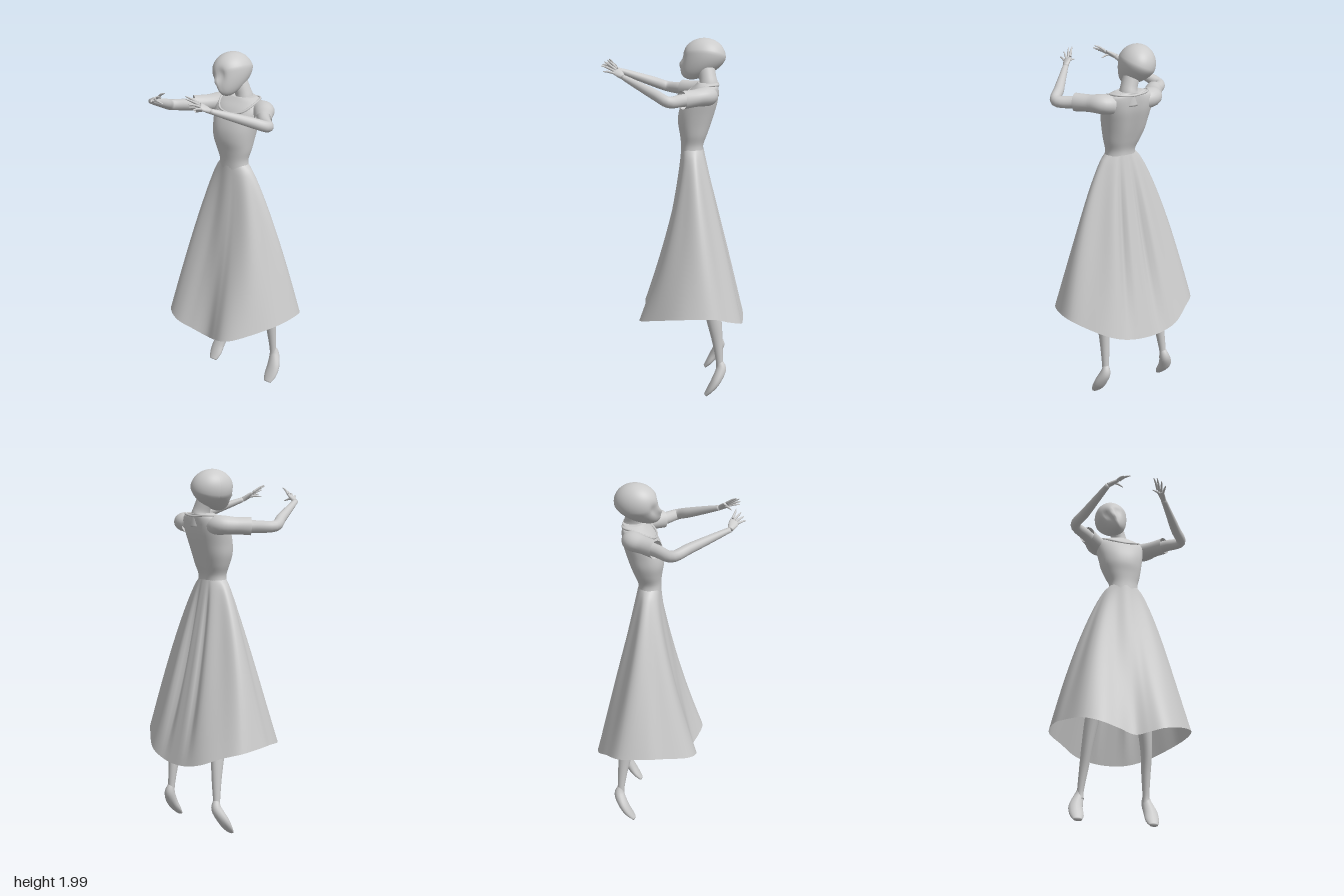
import * as THREE from 'three';

const V = (x, y, z) => new THREE.Vector3(x, y, z);
const mat = new THREE.MeshStandardMaterial({ color: 0xcccccc });
const thin = new THREE.MeshStandardMaterial({ color: 0xcccccc, side: THREE.DoubleSide });

// Smooth skin over closed rings; at(i, j) gives the corner j of ring i
function skin(name, rows, n, at, { caps = true, material = mat } = {}) {
  const pos = [], index = [];
  for (let i = 0; i < rows; i++)
    for (let j = 0; j < n; j++) pos.push(...at(i, j).toArray());
  for (let i = 0; i < rows - 1; i++)
    for (let j = 0; j < n; j++) {
      const k = (j + 1) % n, a = i * n + j, b = i * n + k;
      index.push(a, b, b + n, a, b + n, a + n);
    }
  if (caps)
    for (const end of [0, rows - 1]) {
      const c = V(0, 0, 0), id = pos.length / 3;
      for (let j = 0; j < n; j++) c.addScaledVector(at(end, j), 1 / n);
      pos.push(...c.toArray());
      for (let j = 0; j < n; j++) {
        const a = end * n + j, b = end * n + (j + 1) % n;
        index.push(...(end ? [a, b, id] : [b, a, id]));
      }
    }
  const geo = new THREE.BufferGeometry();
  geo.setAttribute('position', new THREE.Float32BufferAttribute(pos, 3));
  geo.setIndex(index);
  geo.computeVertexNormals();
  const mesh = new THREE.Mesh(geo, material);
  mesh.name = name;
  return mesh;
}

// Linear-to-smooth lookup through a list of number rows
function sample(table, t) {
  const f = t * (table.length - 1), i = Math.min(Math.floor(f), table.length - 2), u = f - i;
  const g = k => table[Math.max(0, Math.min(table.length - 1, k))];
  return table[0].map((_, c) => {
    const [a, b, d, e] = [g(i - 1)[c], g(i)[c], g(i + 1)[c], g(i + 2)[c]];
    return b + 0.5 * u * (d - a + u * (2 * a - 5 * b + 4 * d - e + u * (3 * (b - d) + e - a)));
  });
}

// Swept limb: stations are [x, y, z, width, depth]; ref fixes the width direction
function limb(name, stations, { n = 16, steps = 5, ref = V(1, 0, 0), ...opts } = {}) {
  const rows = (stations.length - 1) * steps + 1;
  const rings = Array.from({ length: rows }, (_, i) => sample(stations, i / (rows - 1)));
  const c = rings.map(r => V(r[0], r[1], r[2]));
  const frames = c.map((_, i) => {
    const t = c[Math.min(i + 1, rows - 1)].clone().sub(c[Math.max(i - 1, 0)]).normalize();
    const s = ref.clone().addScaledVector(t, -ref.dot(t)).normalize();
    return [s, t.clone().cross(s)];
  });
  return skin(name, rows, n, (i, j) => {
    const a = j / n * Math.PI * 2, [s, b] = frames[i];
    return c[i].clone().addScaledVector(s, Math.cos(a) * rings[i][3]).addScaledVector(b, Math.sin(a) * rings[i][4]);
  }, opts);
}

function makeBodice() {
  // y, centre x, half width, front z, back z
  const rows = [
    [1.36, 0, 0.092, -0.047, -0.172], [1.42, 0, 0.084, -0.047, -0.173], [1.48, -0.006, 0.104, -0.04, -0.195],
    [1.54, -0.012, 0.12, -0.03, -0.217], [1.6, -0.012, 0.13, -0.034, -0.236], [1.66, -0.012, 0.14, -0.055, -0.252],
    [1.71, -0.012, 0.145, -0.085, -0.257], [1.745, -0.008, 0.125, -0.12, -0.255], [1.765, -0.005, 0.07, -0.14, -0.25]];
  const count = 41, n = 40;
  return skin('bodice', count, n, (i, j) => {
    const [y, cx, w, zf, zb] = sample(rows, i / (count - 1)), a = j / n * Math.PI * 2;
    const sq = v => Math.sign(v) * Math.abs(v) ** 0.88;
    // shallow hollow along the spine
    const spine = 0.012 * Math.exp(-(((a - Math.PI / 2) / 0.25) ** 2)) * Math.sin(Math.PI * i / (count - 1));
    return V(cx + w * sq(Math.cos(a)), y, (zf + zb) / 2 - (zf - zb) / 2 * sq(Math.sin(a)) + spine);
  });
}

function makeSkirt() {
  // Hem line, from the front centre round by the right
  const hem = new THREE.CatmullRomCurve3([
    [0, 0.40, 0.14], [-0.1, 0.425, 0.155], [-0.2, 0.45, 0.165], [-0.285, 0.475, 0.125], [-0.36, 0.505, -0.02],
    [-0.39, 0.515, -0.1], [-0.388, 0.51, -0.255], [-0.3, 0.48, -0.335], [-0.2, 0.435, -0.395], [-0.07, 0.405, -0.41],
    [0.08, 0.405, -0.4], [0.2, 0.44, -0.385], [0.305, 0.485, -0.315], [0.39, 0.53, -0.23], [0.385, 0.525, -0.065],
    [0.29, 0.485, 0.09], [0.2, 0.45, 0.17], [0.14, 0.435, 0.185], [0.07, 0.415, 0.165]].map(p => V(...p)), true);
  const rows = 36, n = 114;
  const edge = Array.from({ length: n }, (_, j) => hem.getPoint(j / n));
  return skin('skirt', rows, n, (i, j) => {
    const t = i / (rows - 1), h = edge[j], phi = Math.atan2(h.x, h.z + 0.12), front = Math.cos(phi);
    const p = V(
      THREE.MathUtils.lerp(0.088 * Math.sin(phi), h.x, t ** 0.72),
      THREE.MathUtils.lerp(1.4, h.y, t),
      THREE.MathUtils.lerp(-0.11 + 0.062 * front, h.z, t ** (1.2 + 0.2 * front)));
    // soft ripples in front, two deep pleats behind
    const mid = Math.sin(Math.PI * t), back = Math.PI - Math.abs(phi);
    const push = 0.007 * mid * Math.cos(phi * 7) - 0.03 * mid * Math.exp(-(((back - 0.33) / 0.1) ** 2));
    return p.add(V(Math.sin(phi) * push, 0, front * push));
  }, { caps: false, material: thin });
}

function makeHead() {
  const geo = new THREE.SphereGeometry(1, 48, 36), p = geo.attributes.position;
  const bump = (v, x, y, s) => Math.exp(-(((v.x - x) / s) ** 2) - (((v.y - y) / (s * 1.5)) ** 2));
  for (let k = 0; k < p.count; k++) {
    const v = V(0, 0, 0).fromBufferAttribute(p, k), low = Math.max(0, -v.y);
    let x = 0.099 * v.x * (1 - 0.32 * low), y = v.y * (v.y > 0 ? 0.106 : 0.128);
    let z = 0.12 * v.z * (v.z < 0 ? 1 - 0.3 * low : 1) + 0.062 * low * low;
    if (v.z > 0) {
      // nose, lips and eye hollows
      z += 0.017 * bump(v, 0, -0.33, 0.12) + 0.006 * bump(v, 0, -0.68, 0.14);
      z -= 0.013 * (bump(v, 0.36, -0.08, 0.2) + bump(v, -0.36, -0.08, 0.2));
    }
    p.setXYZ(k, x, y, z);
  }
  geo.computeVertexNormals();
  const head = new THREE.Mesh(geo, mat);
  head.name = 'head';
  head.position.set(-0.062, 1.895, -0.172);
  head.rotation.set(0, -0.25, 0.42);
  return head;
}

// Arm with sleeve, palm and fingers
function makeArm(name, s, elbow, wrist, palm, tips) {
  const arm = new THREE.Group(), up = { ref: V(0, 1, 0) };
  arm.name = name;
  arm.add(limb('sleeve', [
    [s * 0.09, 1.70, -0.195, 0.05, 0.05], [s * 0.145, 1.707, -0.18, 0.052, 0.06], [s * 0.19, 1.703, -0.12, 0.046, 0.05],
    [s * 0.24, 1.70, -0.055, 0.049, 0.046]], { ...up, n: 24, caps: false, material: thin }));
  const mix = (f) => elbow.map((e, k) => e + (wrist[k] - e) * f);
  arm.add(limb('armSkin', [
    [s * 0.17, 1.70, -0.14, 0.036, 0.036], [s * 0.25, 1.698, -0.05, 0.034, 0.034], [...elbow, 0.03, 0.029],
    [...mix(0.3), 0.028, 0.028], [...mix(0.7), 0.021, 0.021], [...wrist, 0.014, 0.016]], up));
  // palm lies across the fan of the fingers
  const fan = V(...tips[0]).sub(V(...tips[3])).normalize();
  const mid = wrist.map((w, k) => (w + palm[k]) / 2);
  arm.add(limb('palm', [[...wrist, 0.014, 0.014], [...mid, 0.023, 0.012], [...palm, 0.026, 0.009]], { ref: fan }));
  tips.forEach((tip, k) => {
    const thumb = k === 4;
    const base = thumb ? V(...mid) : V(...palm).addScaledVector(fan, 0.02 - k * 0.0133);
    const half = base.clone().lerp(V(...tip), 0.5).add(V(0, 0.004, 0.003));
    arm.add(limb(thumb ? 'thumb' : 'finger',
      [[...base.toArray(), 0.007, 0.007], [...half.toArray(), 0.006, 0.006], [...tip, 0.0025, 0.0025]],
      { ref: fan, n: 8, steps: 3 }));
  });
  return arm;
}

// Leg with a foot pointing down; the feet differ slightly in x
function makeLeg(name, s, ankle, toe) {
  const leg = new THREE.Group();
  leg.name = name;
  leg.add(limb('legSkin', [
    [s * 0.07, 1.15, -0.13, 0.06, 0.06], [s * 0.105, 0.9, -0.15, 0.06, 0.065], [s * 0.15, 0.62, -0.205, 0.043, 0.05],
    [s * 0.172, 0.45, -0.237, 0.032, 0.042], [(s * 0.172 + ankle) / 2, 0.32, -0.257, 0.026, 0.029],
    [ankle, 0.2, -0.27, 0.019, 0.02], [ankle, 0.15, -0.272, 0.02, 0.022]]));
  leg.add(limb('foot', [
    [ankle, 0.205, -0.272, 0.017, 0.017], [ankle + (toe - ankle) * 0.3, 0.16, -0.279, 0.029, 0.029],
    [toe, 0.095, -0.25, 0.04, 0.027], [toe, 0.045, -0.218, 0.039, 0.019], [toe, 0.012, -0.192, 0.024, 0.01]]));
  return leg;
}

export function createModel() {
  const model = new THREE.Group();
  model.name = 'dancer';
  model.add(makeBodice(), makeSkirt(), makeHead());
  model.add(limb('neck', [
    [0, 1.69, -0.2, 0.06, 0.055], [0, 1.75, -0.197, 0.05, 0.053], [-0.008, 1.79, -0.192, 0.044, 0.047],
    [-0.035, 1.86, -0.18, 0.045, 0.048]], { n: 24 }));

  // Neckline trim
  const trim = new THREE.CatmullRomCurve3([
    [0, 1.69, -0.07], [0.07, 1.705, -0.087], [0.108, 1.75, -0.165], [0.08, 1.757, -0.235], [0, 1.75, -0.25],
    [-0.09, 1.757, -0.235], [-0.125, 1.75, -0.165], [-0.085, 1.705, -0.087]].map(p => V(...p)), true);
  const neckline = new THREE.Mesh(new THREE.TubeGeometry(trim, 64, 0.006, 8, true), mat);
  neckline.name = 'neckline';
  model.add(neckline);

  model.add(makeArm('rightArm', -1, [-0.33, 1.70, 0.035], [-0.212, 1.81, 0.325], [-0.158, 1.838, 0.347], [
    [-0.09, 1.88, 0.352], [-0.093, 1.862, 0.377], [-0.113, 1.848, 0.392], [-0.14, 1.835, 0.403], [-0.125, 1.81, 0.328]]));
  model.add(makeArm('leftArm', 1, [0.32, 1.70, 0.015], [0.138, 1.808, 0.262], [0.105, 1.838, 0.302], [
    [0.052, 1.89, 0.35], [0.067, 1.882, 0.366], [0.092, 1.86, 0.372], [0.117, 1.835, 0.37], [0.052, 1.825, 0.325]]));
  model.add(makeLeg('rightLeg', -1, -0.198, -0.228), makeLeg('leftLeg', 1, 0.178, 0.198));
  return model;
}
